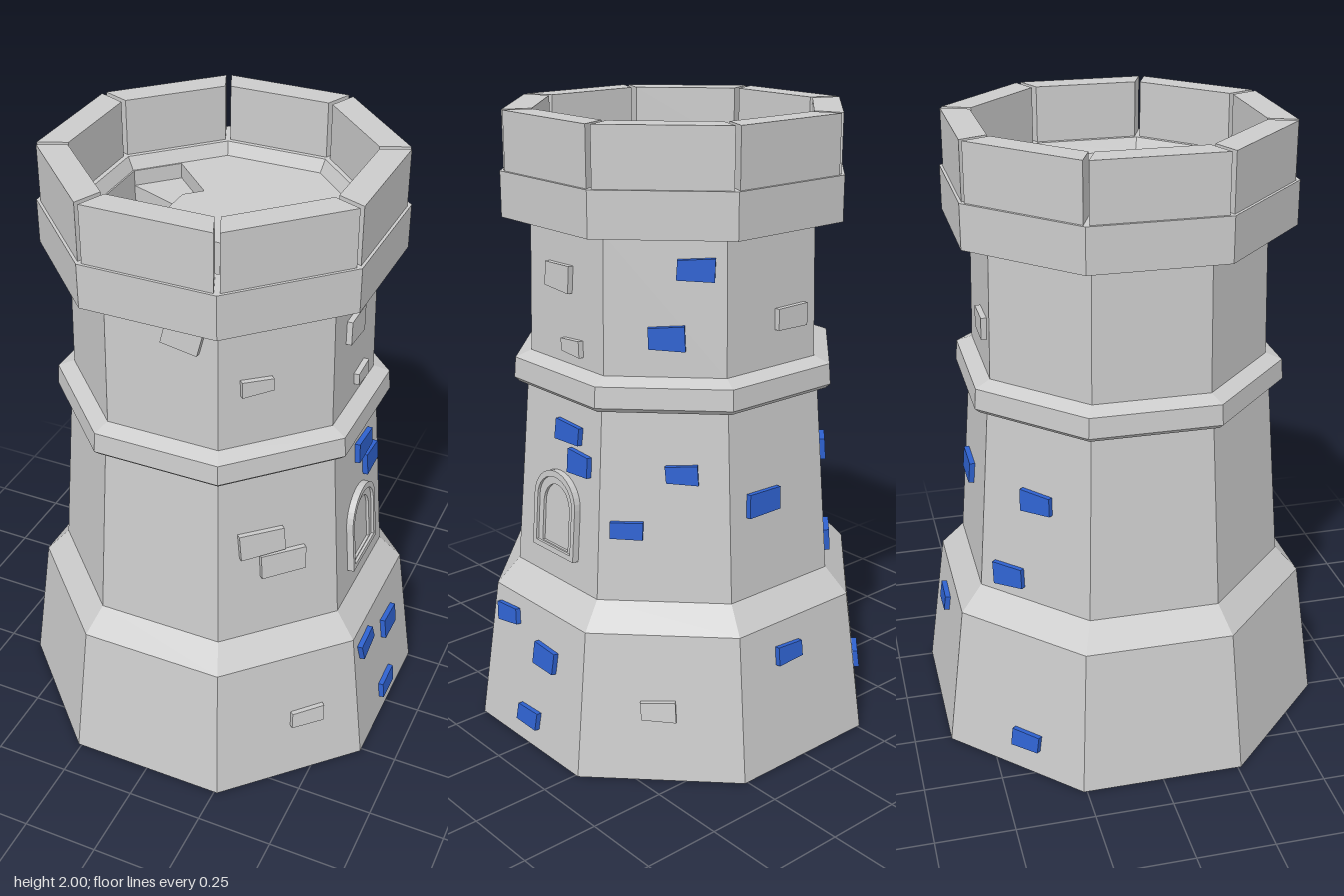
import * as THREE from 'three';

const EIGHTH = Math.PI / 4;
const grey = new THREE.MeshStandardMaterial({ color: 0xcccccc, flatShading: true });
const blue = new THREE.MeshStandardMaterial({ color: 0x2f62d0, flatShading: true });

// Outline of the tower: [distance from axis to flat side, height]
const PROFILE = [
  [0, 0], [0.63, 0], [0.57, 0.47], [0.5, 0.55], [0.455, 1.155],
  [0.48, 1.155], [0.495, 1.17], [0.49, 1.235], [0.442, 1.255],
  [0.432, 1.68], [0.515, 1.68], [0.515, 1.82], [0.405, 1.82], [0.385, 1.78],
];

// Wall distance and lean at a given height
function wallAt(y) {
  const spans = [[1, 2], [3, 4], [8, 9]];
  const [i, j] = spans.find(([, b]) => y <= PROFILE[b][1]);
  const [r0, y0] = PROFILE[i], [r1, y1] = PROFILE[j];
  return { r: r0 + (r1 - r0) * (y - y0) / (y1 - y0), lean: Math.atan2(r0 - r1, y1 - y0) };
}

// Plan point on an octagon with flat-side distance d, at the given degrees (0 = front, 90 = +x)
function octPoint(d, deg) {
  const a = THREE.MathUtils.degToRad(deg);
  const off = a - Math.round(a / EIGHTH) * EIGHTH;
  const r = d / Math.cos(off);
  return new THREE.Vector2(r * Math.sin(a), -r * Math.cos(a));
}

// Upright prism from a plan outline
function prism(points, y0, y1, hole) {
  const shape = new THREE.Shape(points);
  if (hole) shape.holes.push(new THREE.Path(hole));
  const g = new THREE.ExtrudeGeometry(shape, { depth: y1 - y0, bevelEnabled: false });
  return g.rotateX(-Math.PI / 2).translate(0, y0, 0);
}

function add(parent, name, geometry, material = grey) {
  const mesh = new THREE.Mesh(geometry, material);
  mesh.name = name;
  parent.add(mesh);
  return mesh;
}

// Place an object on one wall face: u runs to the right as seen from outside
function placeOnWall(obj, deg, u, y) {
  const { r, lean } = wallAt(y);
  const a = THREE.MathUtils.degToRad(deg);
  obj.rotation.order = 'YXZ';
  obj.rotation.set(-lean, a, obj.rotation.z);
  obj.position.set(r * Math.sin(a) + u * Math.cos(a), y, r * Math.cos(a) - u * Math.sin(a));
}

// Rounded-top opening
function arch(Type, w, y0, spring, top) {
  const s = new Type();
  s.moveTo(-w, y0);
  s.lineTo(w, y0);
  s.lineTo(w, spring);
  s.absellipse(0, spring, w, top - spring, 0, Math.PI, false, 0);
  s.lineTo(-w, y0);
  return s;
}

function archPart(outer, inner, depth) {
  const s = arch(THREE.Shape, ...outer);
  if (inner) s.holes.push(arch(THREE.Path, ...inner));
  return new THREE.ExtrudeGeometry(s, { depth: depth + 0.02, bevelEnabled: false, curveSegments: 8 })
    .translate(0, 0, -0.02);
}

// Slightly irregular stone block
function stone(w, h, seed) {
  const g = new THREE.BoxGeometry(w, h, 0.035);
  const p = g.attributes.position;
  for (let i = 0; i < p.count; i++) {
    const x = p.getX(i), y = p.getY(i);
    const k = (x > 0 ? 1 : 0) + (y > 0 ? 2 : 0) + seed * 4;
    p.setXY(i, x + 0.007 * Math.sin(k * 12.9), y + 0.005 * Math.sin(k * 7.7));
  }
  return g;
}

export function createModel() {
  const tower = new THREE.Group();
  tower.name = 'tower';

  // Body with flared base, string course and parapet band
  const outline = PROFILE.map(([d, y]) => new THREE.Vector2(d / Math.cos(EIGHTH / 2), y));
  add(tower, 'towerBody', new THREE.LatheGeometry(outline, 8, EIGHTH / 2));

  // One parapet block on each side, with a narrow slit at the corners
  const t = Math.tan(EIGHTH / 2), gap = 0.009;
  for (let i = 0; i < 8; i++) {
    const o = 0.506, n = 0.42;
    const plan = [[-n * t + gap, -n], [-o * t + gap, -o], [o * t - gap, -o], [n * t - gap, -n]]
      .map(([x, z]) => new THREE.Vector2(x, z));
    add(tower, 'parapetBlock', prism(plan, 1.81, 2)).rotation.y = i * EIGHTH;
  }

  // Roof floor with a stairwell winding round the centre
  const STEP = 22.5, START = 225, COUNT = 7, IN = 0.17, OUT = 0.38;
  const octagon = [], wellOuter = [], wellInner = [];
  for (let i = 0; i < 8; i++) octagon.push(octPoint(0.4, 22.5 + i * 45));
  for (let k = 0; k <= COUNT; k++) {
    wellOuter.push(octPoint(OUT, START + k * STEP));
    wellInner.unshift(octPoint(IN, START + k * STEP));
  }
  add(tower, 'roofFloor', prism(octagon, 1.36, 1.78, [...wellOuter, ...wellInner]));
  for (let k = 0; k < COUNT; k++) {
    const a = START + k * STEP, b = a + STEP;
    const plan = [octPoint(IN, a), octPoint(OUT, a), octPoint(OUT, b), octPoint(IN, b)];
    add(tower, 'stairStep', prism(plan, 1.36, 1.73 - k * 0.05));
  }

  // Arched window on the +x side
  const windowGroup = new THREE.Group();
  windowGroup.name = 'window';
  const outer = [0.105, 0, 0.17, 0.27], middle = [0.088, 0.018, 0.17, 0.25];
  const inner = [0.066, 0.022, 0.15, 0.225];
  add(windowGroup, 'windowFrame', archPart(outer, middle, 0.022));
  add(windowGroup, 'windowInnerFrame', archPart(middle, inner, 0.013));
  add(windowGroup, 'windowPane', archPart(inner, null, 0.004));
  placeOnWall(windowGroup, 90, 0, 0.64);
  tower.add(windowGroup);

  // Raised stones: [face degrees, u, y, width, height, roll]
  const greyStones = [
    [0, 0.07, 1.615, 0.115, 0.08, -0.2],
    [45, -0.07, 1.455, 0.1, 0.045, 0], [45, -0.056, 0.9, 0.15, 0.08, 0],
    [45, 0.02, 0.81, 0.15, 0.075, 0], [45, 0.067, 0.225, 0.11, 0.05, 0],
    [90, -0.03, 1.52, 0.115, 0.075, -0.03], [90, 0.035, 1.315, 0.09, 0.045, 0],
    [135, -0.007, 0.23, 0.11, 0.065, 0], [180, 0.08, 1.4, 0.12, 0.075, 0],
  ];
  const blueStones = [
    [90, 0.04, 1.045, 0.115, 0.065, 0], [90, 0.095, 0.96, 0.1, 0.07, 0],
    [90, -0.15, 0.395, 0.105, 0.05, 0.12], [90, 0.065, 0.32, 0.105, 0.065, -0.05],
    [90, 0, 0.095, 0.1, 0.05, 0],
    [135, 0.085, 1.58, 0.11, 0.06, 0], [135, 0, 1.375, 0.11, 0.07, 0],
    [135, 0.055, 0.96, 0.1, 0.06, 0], [135, -0.108, 0.78, 0.1, 0.06, 0],
    [180, -0.065, 0.845, 0.125, 0.08, 0], [180, -0.05, 0.365, 0.1, 0.06, 0],
    [225, 0, 0.896, 0.11, 0.065, 0], [225, -0.09, 0.62, 0.11, 0.065, 0.05],
    [225, 0.046, 0.11, 0.1, 0.05, 0],
  ];
  const layStones = (list, name, material) => list.forEach(([deg, u, y, w, h, roll], i) => {
    const mesh = add(tower, name, stone(w, h, i), material);
    mesh.rotation.z = roll;
    placeOnWall(mesh, deg, u, y);
  });
  layStones(greyStones, 'greyStone', grey);
  layStones(blueStones, 'blueStone', blue);

  return tower;
}
